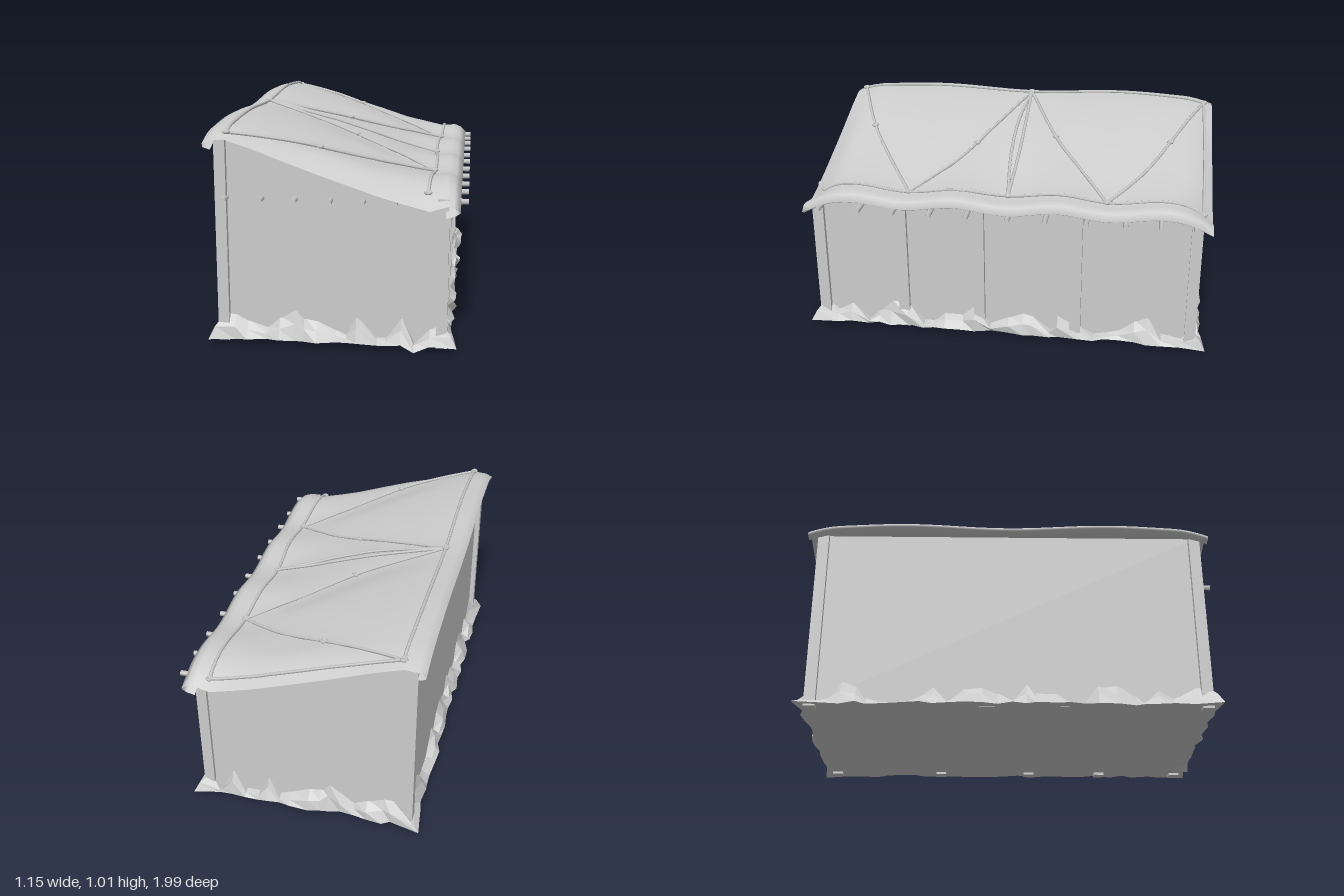
import * as THREE from 'three';

const grey = new THREE.MeshStandardMaterial({ color: 0xcccccc, side: THREE.DoubleSide });
grey.name = 'plain grey';

// seeded random numbers
let seed = 7;
const rand = () => (seed = (seed * 16807) % 2147483647) / 2147483647;

// roof section from the tall side to the low side, with turned-in hems
const ROOF = [
  [-0.53, 0.945], [-0.563, 0.955], [-0.567, 0.968], [-0.53, 0.985], [-0.47, 0.99], [-0.35, 0.957],
  [-0.22, 0.918], [-0.1, 0.882], [0.05, 0.833], [0.2, 0.785], [0.3, 0.762], [0.42, 0.735],
  [0.49, 0.742], [0.525, 0.728], [0.553, 0.7], [0.53, 0.688], [0.49, 0.692],
];

function smooth(a, b, t) {
  return THREE.MathUtils.smoothstep(t, a, b);
}

// adds scallops, puffed panels and the drooping ends to a roof point
function drape(x, y, z) {
  const low = smooth(0.1, 0.42, x);
  const tall = 1 - smooth(-0.5, 0, x);
  const middle = Math.sin(Math.PI * THREE.MathUtils.clamp((x + 0.47) / 0.89, 0, 1));
  const az = Math.abs(z);
  // puff is highest between the diagonal ropes
  const ropeX = 0.42 - 0.89 * Math.min(1, Math.abs(az - 0.48) / 0.47);
  const off = Math.min(1, Math.abs(x - ropeX) / 0.3);
  const panel = az < 0.95 ? off : 0;
  const puff = 0.026 * middle * panel * (x < ropeX ? 1 : 0.3);
  const wave = -0.013 * Math.cos(4 * Math.PI * z) * low - 0.01 * Math.cos(2 * Math.PI * z) * tall;
  const t = Math.max(0, (az - 0.82) / 0.17);
  const droop = t * t * (0.035 + 0.035 * smooth(-0.5, 0, x) - 0.03 * smooth(0.44, 0.55, x));
  return y + puff + wave - droop;
}

// roof height for things lying on top
function roofY(x, z) {
  const k = ROOF.findIndex((p, i) => i > 3 && p[0] >= x);
  const [a, b] = [ROOF[k - 1], ROOF[k]];
  return drape(x, a[1] + ((b[1] - a[1]) * (x - a[0])) / (b[0] - a[0]), z);
}

function gridGeometry(rows, cols, point, closed = false) {
  const pos = [], index = [];
  for (let i = 0; i < rows; i++) for (let j = 0; j < cols; j++) pos.push(...point(i, j));
  for (let i = 0; i < rows - 1; i++) {
    for (let j = 0; j < (closed ? cols : cols - 1); j++) {
      const a = i * cols + j, b = i * cols + ((j + 1) % cols);
      index.push(a, b, a + cols, b, b + cols, a + cols);
    }
  }
  const g = new THREE.BufferGeometry();
  g.setAttribute('position', new THREE.Float32BufferAttribute(pos, 3));
  g.setIndex(index);
  g.computeVertexNormals();
  return g;
}

export function createModel() {
  const model = new THREE.Group();
  model.name = 'shed';
  const add = (name, geometry, x = 0, y = 0, z = 0, parent = model) => {
    const mesh = new THREE.Mesh(geometry, grey);
    mesh.name = name;
    mesh.position.set(x, y, z);
    parent.add(mesh);
    return mesh;
  };
  const group = (name) => {
    const g = new THREE.Group();
    g.name = name;
    model.add(g);
    return g;
  };

  // walls and floor as one solid
  const section = new THREE.Shape([
    [-0.5, 0.03], [0.482, 0.03], [0.482, 0.69], [0.4, 0.695], [0.2, 0.725], [-0.5, 0.945],
  ].map(([x, y]) => new THREE.Vector2(x, y)));
  add('walls', new THREE.ExtrudeGeometry(section, { depth: 1.86, bevelEnabled: false }), 0, 0, -0.925);

  // posts: two at the tall side, five at the low side
  const posts = group('posts');
  const post = (x, z, top) =>
    add('post', new THREE.BoxGeometry(0.05, top - 0.018, 0.054), x, (top + 0.018) / 2, z, posts);
  for (const z of [0.933, -0.915]) post(-0.5, z, 0.945);
  for (const z of [0.933, 0.518, 0.132, -0.348, -0.915]) post(0.479, z, 0.695);

  // draped roof cloth
  const COLS = 49;
  add('roof', gridGeometry(ROOF.length, COLS, (i, j) => {
    const z = -0.985 + (1.98 * j) / (COLS - 1);
    const [x, y] = ROOF[i];
    return [x, drape(x, y, z), z];
  }));

  // pegs under the eaves
  const pegs = group('pegs');
  for (const z of [-0.905, -0.745, -0.58, -0.395, -0.2, -0.02, 0.18, 0.36, 0.54, 0.71, 0.905]) {
    add('peg', new THREE.CylinderGeometry(0.013, 0.013, 0.13, 5), 0.52, 0.677, z, pegs).rotation.z = Math.PI / 2;
  }
  for (const x of [-0.48, -0.32, -0.17, -0.015, 0.13, 0.27]) {
    add('peg', new THREE.CylinderGeometry(0.013, 0.013, 0.09, 5), x, 0.677, 0.955, pegs).rotation.x = Math.PI / 2;
  }

  // ropes lying on the roof, given as x and z of their points
  const ropes = group('ropes');
  const routes = [
    [[-0.46, -0.94], [-0.47, -0.5], [-0.47, 0], [-0.465, 0.5], [-0.47, 0.945]],
    [[0.43, -0.94], [0.425, -0.7], [0.42, -0.48], [0.415, -0.25], [0.41, 0], [0.425, 0.25], [0.425, 0.49], [0.41, 0.92]],
    [[-0.46, -0.94], [-0.06, -0.77], [0.2, -0.64], [0.42, -0.48]],
    [[0.42, -0.48], [0.18, -0.33], [-0.06, -0.18], [-0.47, 0]],
    [[-0.47, 0], [0.02, 0.22], [0.2, 0.32], [0.42, 0.49]],
    [[0.42, 0.49], [0.18, 0.64], [-0.08, 0.79], [-0.47, 0.945]],
    [[-0.46, -0.94], [0, -0.945], [0.43, -0.94]],
    [[-0.47, 0], [0, -0.01], [0.41, 0]],
    [[-0.47, 0], [-0.2, 0.03], [0.1, 0.03], [0.41, 0]],
  ];
  for (const route of routes) {
    const flat = new THREE.CatmullRomCurve3(route.map(([x, z]) => new THREE.Vector3(x, 0, z)));
    const path = flat.getSpacedPoints(24).map((p) => p.setY(roofY(p.x, p.z) + 0.006));
    add('rope', new THREE.TubeGeometry(new THREE.CatmullRomCurve3(path), 36, 0.008, 5), 0, 0, 0, ropes);
  }

  // knots where ropes meet and halfway along the diagonals
  const knots = group('knots');
  for (const [x, z] of [
    [-0.46, -0.94], [-0.47, 0], [-0.47, 0.945], [0.43, -0.94], [0.42, -0.48], [0.41, 0],
    [0.42, 0.49], [0.41, 0.92], [-0.06, -0.77], [-0.06, -0.18], [0.02, 0.22], [-0.08, 0.79],
  ]) {
    const knot = add('knot', new THREE.TorusGeometry(0.011, 0.008, 5, 8), x, roofY(x, z) + 0.008, z, knots);
    knot.rotation.set(Math.PI / 2, 0, rand() * 3);
  }

  // jagged rubble banked against the foot of the walls, one height list per side
  const front = [0.14, 0.14, 0.11, 0.08, 0.13, 0.175, 0.13, 0.12, 0.08, 0.06, 0.15, 0.05, 0.05, 0.155, 0.03, 0.1];
  const low = [0.13, 0.08, 0.12, 0.04, 0.09, 0.15, 0.14, 0.05, 0.05, 0.1, 0.1, 0.15, 0.06, 0.1, 0.13, 0.12, 0.05,
    0.13, 0.08, 0.04, 0.05, 0.07, 0.13, 0.16, 0.07, 0.05];
  const sides = [
    { h: front, from: [-0.5, 0.935], to: [0.482, 0.935], n: [0, 1] },
    { h: low, from: [0.482, 0.935], to: [0.482, -0.925], n: [1, 0] },
    { h: [...front].reverse(), from: [0.482, -0.925], to: [-0.5, -0.925], n: [0, -1] },
    { h: [...low].reverse(), from: [-0.5, -0.925], to: [-0.5, 0.935], n: [-1, 0] },
  ];
  const ring = [];
  sides.forEach(({ h, from, to, n }, s) => {
    const before = sides[(s + 3) % 4].n;
    h.forEach((height, k) => {
      const t = k === 0 ? 0 : (k + (rand() - 0.5) * 0.6) / h.length;
      const out = k === 0 ? [n[0] + before[0], n[1] + before[1]] : n;
      ring.push({
        x: from[0] + (to[0] - from[0]) * t, z: from[1] + (to[1] - from[1]) * t, out, height,
        foot: k === 0 ? 0.065 : 0.03 + rand() * 0.03,
        belly: k === 0 ? 0.04 : 0.008 + rand() * 0.035,
        base: s === 0 && k === 14 ? 0.003 : 0.022 + rand() * 0.012,
      });
    });
  });
  const rubble = gridGeometry(4, ring.length, (i, j) => {
    const p = ring[j];
    const d = [-0.01, p.foot, p.belly, -0.004][i];
    const y = [0.03, p.base, 0.03 + (p.height - 0.03) * 0.5, p.height][i];
    return [p.x + p.out[0] * d, y, p.z + p.out[1] * d];
  }, true).toNonIndexed();
  rubble.computeVertexNormals();
  add('rubble', rubble);

  return model;
}
